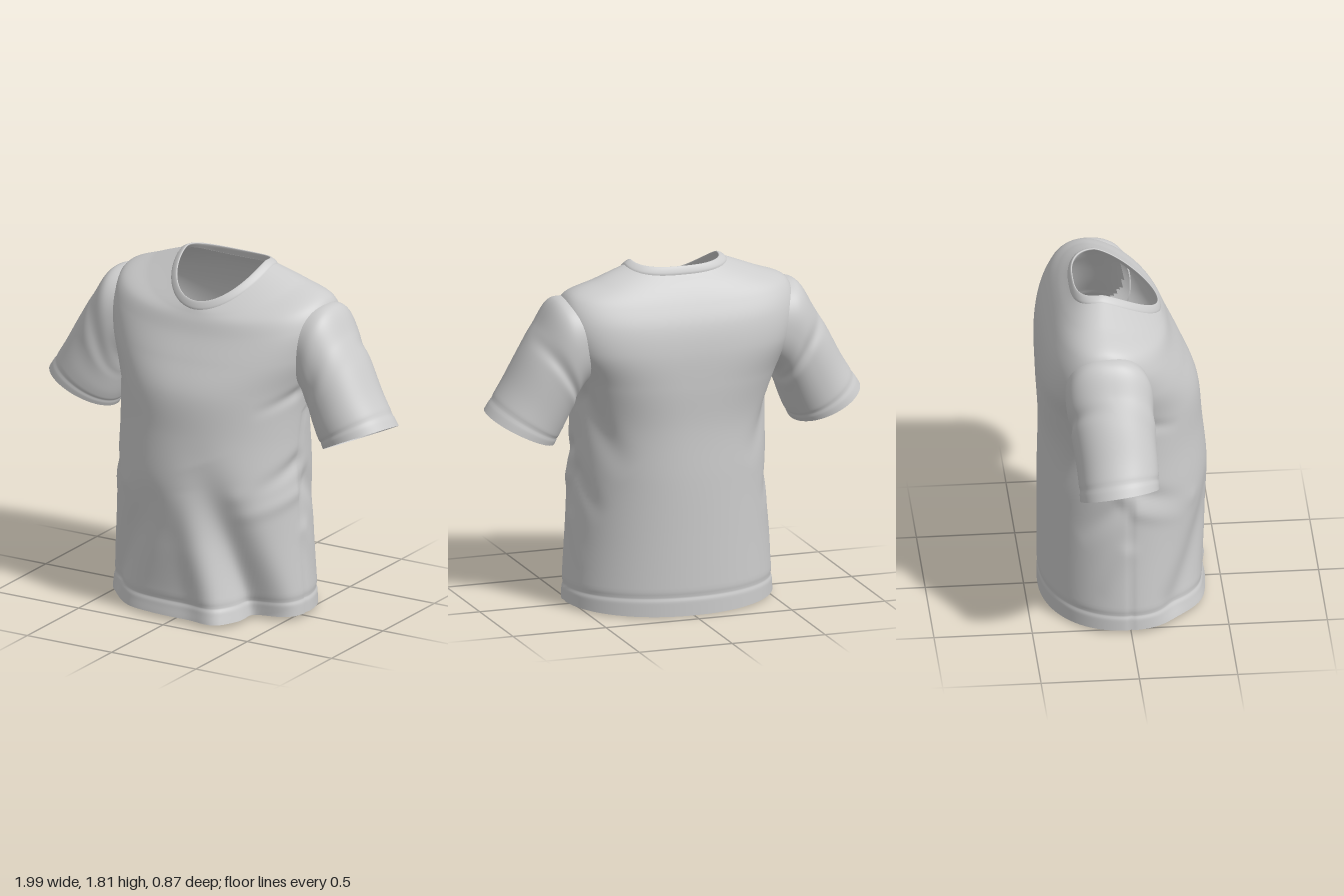
import * as THREE from 'three';

const COLS = 144;
const cloth = new THREE.MeshStandardMaterial({ color: 0xcccccc, side: THREE.DoubleSide });
const bell = (d, w) => Math.exp(-(d * d) / (w * w));
const spow = (v, e) => Math.sign(v) * Math.pow(Math.abs(v), e);

// Skin a closed tube through key rings: ringPoint(key, angle) gives the points,
// shape(p, angle, t) adds folds, skip(p) leaves holes.
function loft(name, keys, rows, ringPoint, shape, skip) {
  const pts = [];
  const grid = [];
  for (let j = 0; j < COLS; j++) {
    const a = (j / COLS) * Math.PI * 2;
    const curve = new THREE.CatmullRomCurve3(keys.map((k) => ringPoint(k, a)));
    grid.push(curve.getPoints(rows).map((p, i) => {
      if (shape) shape(p, a, i / rows);
      return p;
    }));
  }
  for (let i = 0; i <= rows; i++) for (let j = 0; j < COLS; j++) pts.push(grid[j][i]);
  const index = [];
  for (let i = 0; i < rows; i++) {
    for (let j = 0; j < COLS; j++) {
      const k = (j + 1) % COLS;
      const a = i * COLS + j, b = i * COLS + k, c = b + COLS, d = a + COLS;
      if (skip && skip(pts[a])) continue;
      index.push(a, b, c, a, c, d);
    }
  }
  const geo = new THREE.BufferGeometry().setFromPoints(pts);
  geo.setIndex(index);
  geo.computeVertexNormals();
  const mesh = new THREE.Mesh(geo, cloth);
  mesh.name = name;
  return mesh;
}

// Body ring: half width, side z, front z, back z, front and back squareness
// (1 = ellipse, less = squarer), then front, side and back heights
function bodyRing([w, zc, zf, zb, ef, eb, yf, ys = yf, yb = yf], a) {
  const s = Math.sin(a), c = Math.cos(a);
  const e = c > 0 ? ef : eb;
  const h = Math.pow(Math.abs(c), 1.3);
  return new THREE.Vector3(
    w * spow(s, e),
    ys + ((c > 0 ? yf : yb) - ys) * h,
    zc + (c > 0 ? zf - zc : zc - zb) * spow(c, e)
  );
}

const BODY = [
  [0.55, 0, 0.42, -0.43, 1, 0.96, 0.02, 0.02, 0.0],
  [0.545, 0, 0.405, -0.43, 1, 0.96, 0.1],
  [0.522, 0, 0.415, -0.43, 1, 0.96, 0.4],
  [0.508, 0, 0.43, -0.43, 1, 0.95, 0.7],
  [0.505, -0.02, 0.405, -0.425, 1, 0.9, 0.98],
  [0.53, -0.07, 0.38, -0.435, 0.95, 0.76, 1.2],
  [0.595, -0.11, 0.31, -0.433, 0.88, 0.63, 1.36, 1.4, 1.38],
  [0.617, -0.125, 0.25, -0.41, 0.88, 0.66, 1.48, 1.57, 1.51],
  [0.582, -0.14, 0.222, -0.368, 0.9, 0.72, 1.55, 1.664, 1.61],
  [0.42, -0.145, 0.205, -0.32, 0.95, 0.76, 1.585, 1.734, 1.69],
  [0.27, -0.13, 0.195, -0.27, 1, 0.74, 1.605, 1.79, 1.75],
];

// Folds: start angle and height, end angle and height, width, depth at start, depth at end
const FOLDS = [
  [0.3, 0.85, 0.98, 0.0, 0.11, -0.005, -0.13],
  [0.15, 0.7, 0.42, 0.0, 0.08, 0.0, 0.055],
  [-0.3, 0.6, -0.95, 0.12, 0.1, -0.01, -0.03],
  [-0.2, 0.5, -0.5, 0.0, 0.1, 0.0, 0.015],
  [0.7, 0.68, 1.5, 0.82, 0.045, 0.005, -0.02],
  [0.8, 0.58, 1.5, 0.66, 0.04, 0.005, 0.01],
  [-0.7, 0.66, -1.5, 0.8, 0.045, 0.005, -0.02],
  [-0.8, 0.58, -1.5, 0.68, 0.04, 0.0, 0.01],
  [0.8, 1.12, 1.35, 1.2, 0.035, 0.0, -0.015],
  [-0.8, 1.12, -1.35, 1.2, 0.035, 0.0, -0.015],
  [2.5, 0.75, 1.8, 1.12, 0.08, 0.0, -0.03],
  [-2.5, 0.75, -1.8, 1.12, 0.08, 0.0, -0.03],
  [2.2, 0.5, 1.7, 0.7, 0.06, 0.0, -0.02],
  [-2.2, 0.5, -1.7, 0.7, 0.06, 0.0, -0.02],
  [1.9, 0.2, 1.62, 0.45, 0.05, 0.0, 0.01],
  [-1.9, 0.2, -1.62, 0.45, 0.05, 0.0, 0.01],
];

function bodyFolds(p, a) {
  const u = a > Math.PI ? a - 2 * Math.PI : a;
  let d = -0.006 * bell(p.y - 0.1, 0.014); // hem seam
  for (const [a0, y0, a1, y1, w, d0, d1] of FOLDS) {
    const du = (a1 - a0) * 0.5, dy = y1 - y0;
    const pu = (u - a0) * 0.5, py = p.y - y0;
    const t = THREE.MathUtils.clamp((pu * du + py * dy) / (du * du + dy * dy), 0, 1);
    d += (d0 + (d1 - d0) * t) * bell(Math.hypot(pu - t * du, py - t * dy), w);
  }
  // side seam
  d -= 0.006 * bell(Math.abs(u) - Math.PI / 2, 0.03) * (p.y < 1.1 ? 1 : 0);
  const r = Math.hypot(p.x, p.z) || 1;
  p.x += (p.x / r) * d;
  p.z += (p.z / r) * d;
}

// Openings into the sleeves
const inArmhole = (p) => Math.abs(p.x) > 0.56 &&
  ((p.y - 1.42) / 0.2) ** 2 + ((p.z + 0.11) / 0.18) ** 2 < 1;

// Sleeve ring: top x, top y, bottom x, bottom y, front z, back z, squareness,
// and how far the back edge hangs past the front
const SLEEVE = [
  [0.54, 1.645, 0.48, 1.22, 0.085, -0.335, 0.88, 0],
  [0.642, 1.635, 0.53, 1.165, 0.105, -0.335, 0.88, 0],
  [0.735, 1.50, 0.555, 1.09, 0.108, -0.322, 0.9, 0],
  [0.81, 1.38, 0.575, 1.04, 0.11, -0.308, 0.92, 0.005],
  [0.90, 1.215, 0.605, 0.965, 0.118, -0.292, 0.95, 0.015],
  [0.997, 1.063, 0.64, 0.895, 0.118, -0.285, 0.98, 0.025],
];

function sleeveRing([tx, ty, bx, by, zf, zb, e, hang], a) {
  const c = spow(Math.cos(a), e), s = spow(Math.sin(a), e);
  return new THREE.Vector3(
    (tx + bx) / 2 + ((tx - bx) / 2) * c - 0.43 * hang * s,
    (ty + by) / 2 + ((ty - by) / 2) * c + 0.9 * hang * s,
    (zf + zb) / 2 + ((zf - zb) / 2) * s
  );
}

function sleeveFolds(p, a, t) {
  const back = Math.max(0, -Math.sin(a)), front = Math.max(0, Math.sin(a));
  // rear creases, soft front folds and cuff seam
  const d = -0.014 * back * bell(t - 0.4 - 0.08 * Math.cos(a), 0.06)
    + 0.005 * front * Math.sin(t * 14 + Math.cos(a) * 2) * bell(t - 0.45, 0.2)
    - 0.004 * bell(t - 0.92, 0.018);
  p.z += Math.sin(a) * d;
  p.x += Math.cos(a) * d * 0.6;
  p.y += Math.cos(a) * d * 0.6;
}

// Flat neckband, turned in at the opening
const COLLAR = [
  [0.272, -0.13, 0.197, -0.271, 1, 0.74, 1.598, 1.786, 1.745],
  [0.264, -0.13, 0.197, -0.27, 1, 0.74, 1.612, 1.798, 1.76],
  [0.235, -0.122, 0.184, -0.254, 1, 0.72, 1.643, 1.813, 1.79],
  [0.229, -0.12, 0.18, -0.249, 1, 0.72, 1.642, 1.81, 1.788],
  [0.245, -0.125, 0.183, -0.257, 1, 0.74, 1.61, 1.788, 1.752],
];

export function createModel() {
  const shirt = new THREE.Group();
  shirt.name = 'tShirt';
  shirt.add(loft('body', BODY, 150, bodyRing, bodyFolds, inArmhole));
  shirt.add(loft('collar', COLLAR, 20, bodyRing));
  for (const side of [1, -1]) {
    const sleeve = loft(side > 0 ? 'leftSleeve' : 'rightSleeve', SLEEVE, 70, sleeveRing, sleeveFolds);
    sleeve.scale.x = side;
    shirt.add(sleeve);
  }
  return shirt;
}
